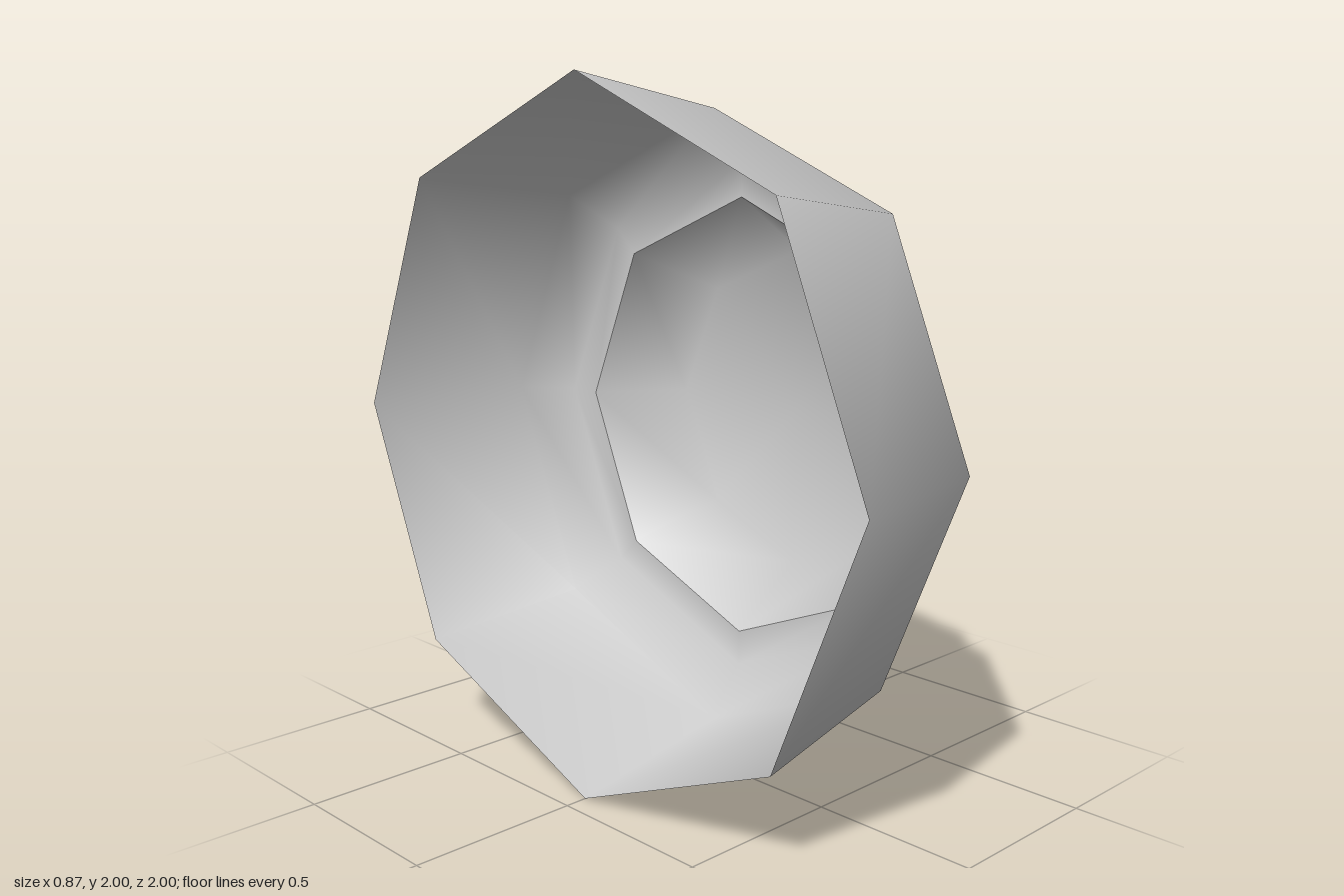
import * as THREE from 'three';

export function createModel() {
  const model = new THREE.Group();
  const grey = new THREE.MeshStandardMaterial({ color: 0xcccccc, side: THREE.DoubleSide });
  grey.name = 'plain grey';

  // Eight-sided smooth shell turned around the x axis; profile is [radius, x]
  const turned = (name, profile) => {
    const points = profile.map(([r, x]) => new THREE.Vector2(r, x));
    const geometry = new THREE.LatheGeometry(points, 8);
    geometry.rotateZ(-Math.PI / 2);
    const mesh = new THREE.Mesh(geometry, grey);
    mesh.name = name;
    mesh.position.y = 1;
    model.add(mesh);
  };

  // Open bowl with a chamfered shoulder and a flat ring around the hub
  turned('outerShell', [[1, -0.435], [0.905, 0.075], [0.76, 0.185], [0.655, 0.185]]);

  // Tapered hub with a closed face, hollow from behind
  turned('hub', [[0.655, 0.185], [0.487, 0.435], [0, 0.435]]);

  return model;
}
